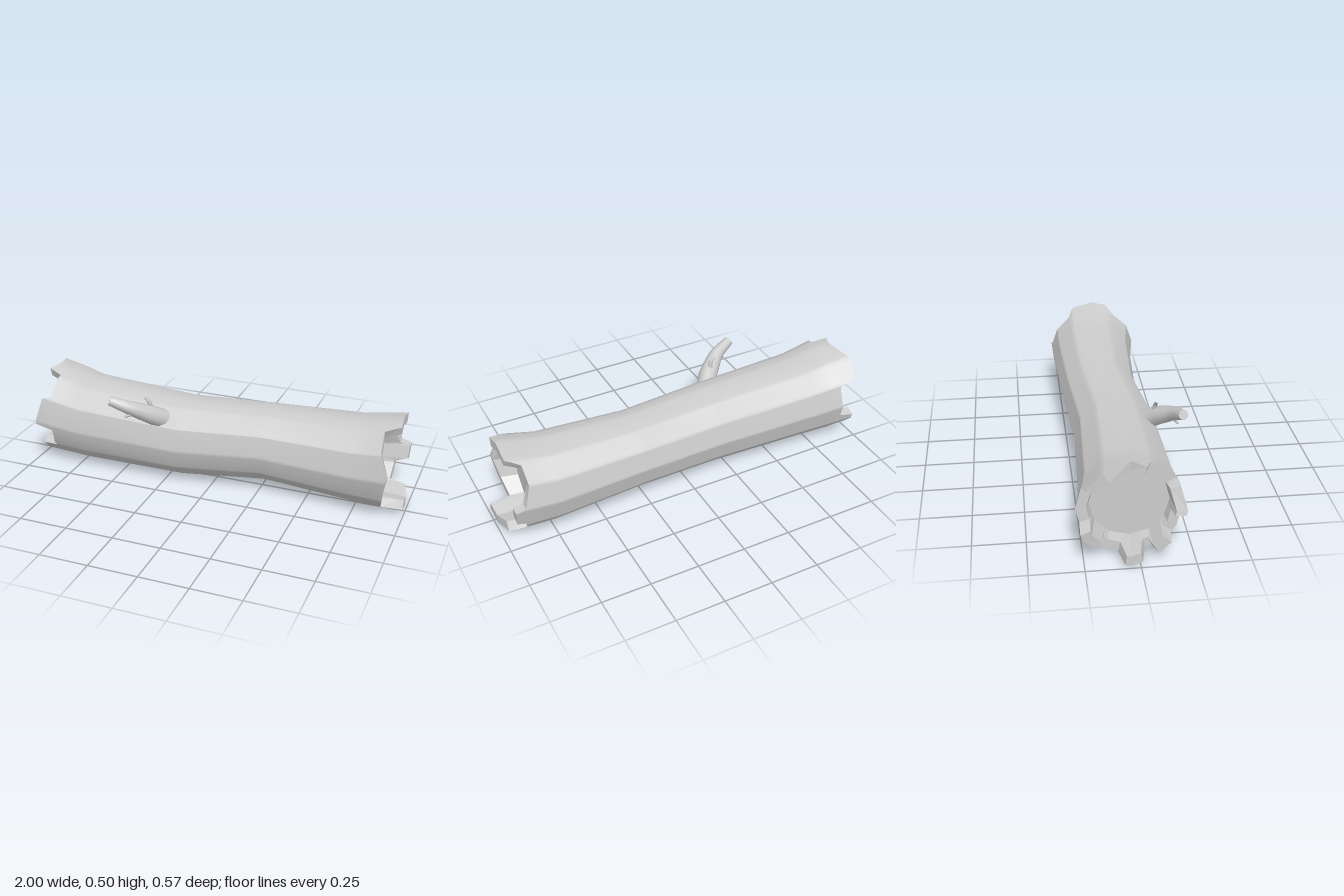
import * as THREE from 'three';

const SIDES = 12;
const material = new THREE.MeshStandardMaterial({ color: 0xcccccc });
const rad = THREE.MathUtils.degToRad;

// trunk sections: x, centre y, centre z, radius
const SECTIONS = [
  [-1.0, 0.262, -0.042, 0.25], [-0.92, 0.256, -0.04, 0.248], [-0.72, 0.228, -0.028, 0.228],
  [-0.17, 0.215, -0.018, 0.211], [0.27, 0.232, -0.06, 0.199], [0.73, 0.229, -0.057, 0.223],
  [0.95, 0.252, -0.041, 0.243], [1.0, 0.257, -0.038, 0.247],
];

// broken ends: angle in degrees (0 = top, 90 = front), distance along x
const RIGHT_END = [
  [0, 0.95], [21, 0.955], [30, 0.88], [57, 0.885], [90, 0.925], [120, 0.905], [150, 0.89],
  [157, 0.995], [180, 0.99], [207, 0.97], [213, 0.885], [243, 0.89], [248, 0.955],
  [268, 0.96], [272, 0.91], [300, 0.875], [325, 0.88], [333, 0.95], [360, 0.95],
];
const LEFT_END = [
  [0, 0.92], [16, 0.955], [22, 0.88], [56, 0.88], [61, 0.93], [96, 0.965], [100, 0.87],
  [128, 0.875], [132, 0.96], [150, 0.96], [155, 0.88], [163, 0.88], [168, 0.99], [187, 1.0],
  [193, 0.89], [218, 0.88], [223, 0.95], [247, 0.96], [253, 0.88], [298, 0.87],
  [303, 0.96], [330, 0.965], [360, 0.92],
];

// linear interpolation of column c in a table keyed by its first column
function lookup(table, key, c = 1) {
  let i = 1;
  while (i < table.length - 1 && key > table[i][0]) i++;
  const a = table[i - 1], b = table[i];
  return THREE.MathUtils.mapLinear(key, a[0], b[0], a[c], b[c]);
}

// point on the twelve-sided trunk at x and angle, with optional radius scale
function trunkPoint(x, deg, scale = 1) {
  const chord = Math.cos(rad(15)) / Math.cos(rad((deg % 30) - 15));
  const r = lookup(SECTIONS, x, 3) * chord * scale;
  return [x, lookup(SECTIONS, x, 1) + r * Math.cos(rad(deg)), lookup(SECTIONS, x, 2) + r * Math.sin(rad(deg))];
}

// all angles at which the outline or a broken end has a corner
const angles = [...new Set([
  ...Array.from({ length: SIDES }, (_, i) => i * 30),
  ...RIGHT_END.map(p => p[0] % 360), ...LEFT_END.map(p => p[0] % 360),
])].sort((a, b) => a - b);

// closed rings joined by quads; each ring is a function of the angle
function loft(rings, flat) {
  const n = angles.length, index = [];
  const position = rings.flatMap(ring => angles.flatMap(ring));
  for (let r = 0; r < rings.length - 1; r++) {
    for (let i = 0; i < n; i++) {
      const a = r * n + i, b = r * n + (i + 1) % n;
      index.push(a, b, b + n, a, b + n, a + n);
    }
  }
  let g = new THREE.BufferGeometry();
  g.setAttribute('position', new THREE.Float32BufferAttribute(position, 3));
  g.setIndex(index);
  if (flat) g = g.toNonIndexed();
  g.computeVertexNormals();
  return g;
}

function add(parent, name, geometry) {
  const mesh = new THREE.Mesh(geometry, material);
  mesh.name = name;
  parent.add(mesh);
  return mesh;
}

// tapered branch through points [x, y, z, radius]
function taperedBranch(parent, name, points, sides) {
  const branch = new THREE.Group();
  branch.name = name;
  const path = new THREE.CatmullRomCurve3(points.map(p => new THREE.Vector3(p[0], p[1], p[2])));
  const steps = (points.length - 1) * 3;
  const geometry = new THREE.TubeGeometry(path, steps, 1, sides);
  const pos = geometry.attributes.position, v = new THREE.Vector3();
  const radii = points.map((p, i) => [i / (points.length - 1), p[3]]);
  for (let i = 0; i < pos.count; i++) {
    const t = Math.floor(i / (sides + 1)) / steps;
    const centre = path.getPointAt(t);
    v.fromBufferAttribute(pos, i).sub(centre).multiplyScalar(lookup(radii, t)).add(centre);
    pos.setXYZ(i, v.x, v.y, v.z);
  }
  geometry.computeBoundingSphere();
  add(branch, name + 'Stem', geometry);
  // flat cut at the tip
  const tip = add(branch, name + 'Tip', new THREE.CircleGeometry(points.at(-1)[3], sides));
  tip.position.copy(path.getPoint(1));
  tip.quaternion.setFromUnitVectors(new THREE.Vector3(0, 0, 1), path.getTangent(1));
  parent.add(branch);
}

export function createModel() {
  const log = new THREE.Group();
  log.name = 'hollowLog';

  const rightX = a => lookup(RIGHT_END, a);
  const leftX = a => -lookup(LEFT_END, a);

  // bark
  add(log, 'bark', loft([
    a => trunkPoint(leftX(a), a),
    ...[-0.85, -0.72, -0.17, 0.27, 0.73, 0.86].map(x => a => trunkPoint(x, a)),
    a => trunkPoint(rightX(a), a),
  ], false));

  // broken rim, hollow wall and flat floor at each end
  for (const [side, endX, floorX] of [['right', leftX, -0.82], ['left', rightX, 0.82]]) {
    const outer = a => trunkPoint(endX(a), a);
    const inner = a => trunkPoint(endX(a), a, 0.8);
    const floor = a => trunkPoint(floorX, a, 0.77);
    const centre = () => [floorX, lookup(SECTIONS, floorX, 1), lookup(SECTIONS, floorX, 2)];
    const order = rings => (floorX > 0 ? rings : rings.reverse());
    add(log, side + 'Rim', loft(order([outer, inner]), true));
    add(log, side + 'HollowWall', loft(order([inner, floor]), true));
    add(log, side + 'HollowFloor', loft(order([floor, centre]), true));
  }

  // broken branch with two twigs
  taperedBranch(log, 'branch', [
    [-0.245, 0.33, 0.09, 0.05], [-0.285, 0.37, 0.145, 0.05], [-0.34, 0.408, 0.195, 0.043],
    [-0.395, 0.44, 0.235, 0.033], [-0.48, 0.475, 0.265, 0.025],
  ], 10);
  taperedBranch(log, 'upperTwig', [
    [-0.305, 0.405, 0.15, 0.016], [-0.312, 0.45, 0.158, 0.012], [-0.335, 0.474, 0.16, 0.005],
  ], 6);
  taperedBranch(log, 'lowerTwig', [
    [-0.365, 0.42, 0.23, 0.012], [-0.385, 0.4, 0.243, 0.01], [-0.408, 0.393, 0.25, 0.006],
  ], 6);
  return log;
}
